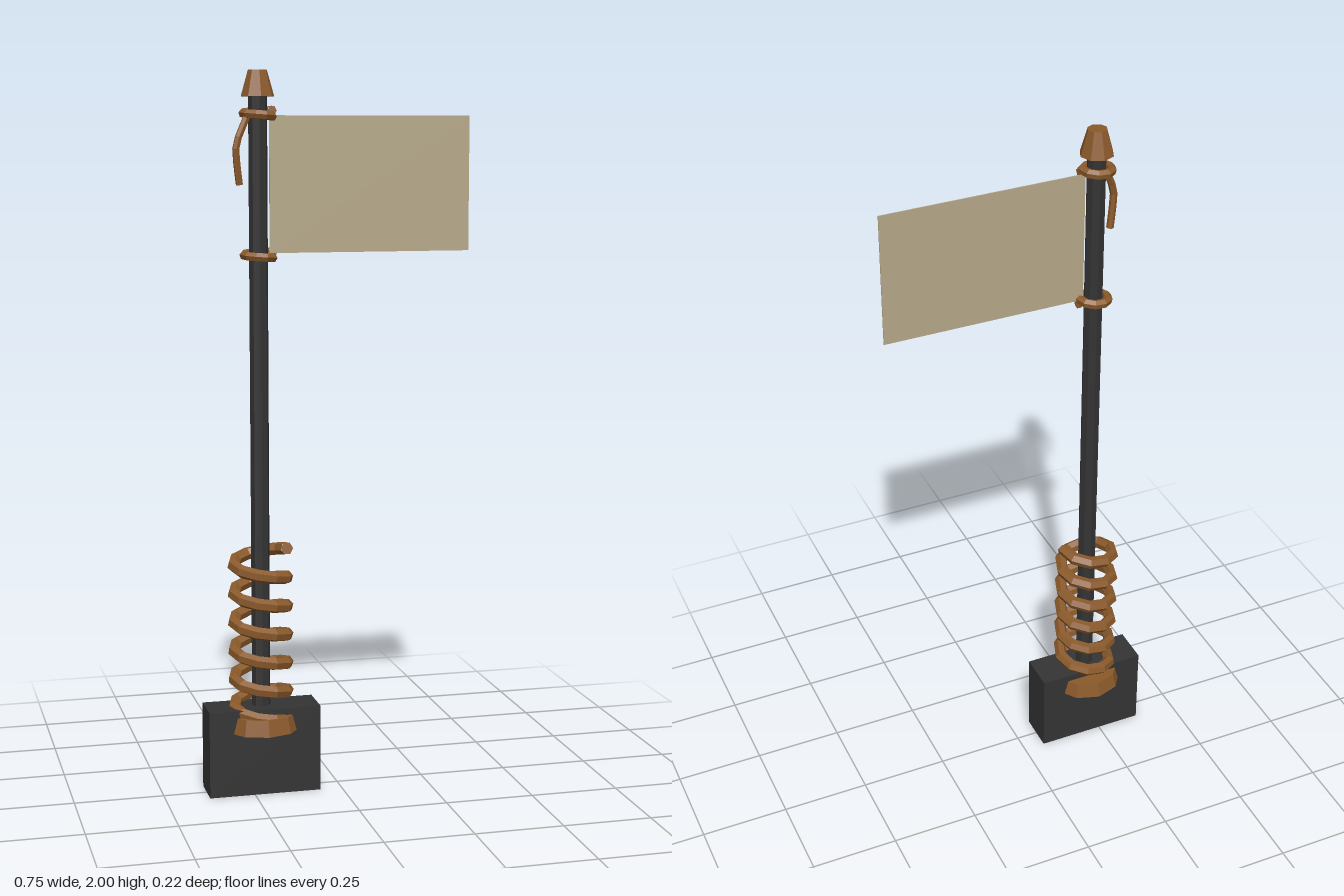
import * as THREE from 'three';

const flat = (name, color, side = THREE.FrontSide) => {
  const m = new THREE.MeshStandardMaterial({ color, side, flatShading: true });
  m.name = name;
  return m;
};

const POLE_X = -0.22;

export function createModel() {
  const group = new THREE.Group();
  const dark = flat('darkMetal', 0x343434);
  const rope = flat('brownRope', 0x8b5a2b);
  const cloth = flat('tanCloth', 0xb5a889);

  const add = (name, geometry, material, x, y, z = 0, parent = group) => {
    const mesh = new THREE.Mesh(geometry, material);
    mesh.name = name;
    mesh.position.set(x, y, z);
    parent.add(mesh);
    return mesh;
  };

  // Rope piece along a curve, closed at both ends
  const addRope = (name, curve, segments, radius, y) => {
    const part = new THREE.Group();
    part.name = name;
    part.position.set(POLE_X, y, 0);
    group.add(part);
    add(name + 'Body', new THREE.TubeGeometry(curve, segments, radius, 6), rope, 0, 0, 0, part);
    for (const t of [0, 1]) {
      const p = curve.getPointAt(t);
      const dir = curve.getTangentAt(t).multiplyScalar(t ? 1 : -1);
      const cap = add(name + 'End', new THREE.CircleGeometry(radius, 6), rope, p.x, p.y, p.z, part);
      cap.lookAt(p.clone().add(dir).add(part.position));
    }
  };

  // Rising helix around the pole, starting at +x
  class Helix extends THREE.Curve {
    constructor(radius, turns, height) {
      super();
      Object.assign(this, { radius, turns, height });
    }
    getPoint(t, target = new THREE.Vector3()) {
      const a = t * this.turns * Math.PI * 2;
      return target.set(Math.cos(a) * this.radius, t * this.height, Math.sin(a) * this.radius);
    }
  }

  // Base block, pole and collar
  add('base', new THREE.BoxGeometry(0.316, 0.245, 0.11), dark, POLE_X, 0.1225);
  add('pole', new THREE.CylinderGeometry(0.026, 0.026, 1.75, 8), dark, POLE_X, 1.07);
  add('collar', new THREE.CylinderGeometry(0.1, 0.11, 0.045, 10), rope, POLE_X, 0.2025);

  // Pole cap
  add('cap', new THREE.CylinderGeometry(0.026, 0.046, 0.07, 8), rope, POLE_X, 1.965);

  // Coiled rope and the two lashings
  addRope('coil', new Helix(0.076, 6, 0.488), 60, 0.018, 0.2);
  for (const y of [1.877, 1.497]) addRope('lashing', new Helix(0.04, 1, 0.016), 10, 0.013, y);

  // Loose rope end hanging from the upper lashing
  const tail = new THREE.CatmullRomCurve3([
    new THREE.Vector3(-0.032, 1.88, 0.018),
    new THREE.Vector3(-0.065, 1.8, 0.028),
    new THREE.Vector3(-0.064, 1.76, 0.027),
    new THREE.Vector3(-0.056, 1.695, 0.024),
  ]);
  addRope('ropeTail', tail, 6, 0.01, 0);

  // Flag
  add('flag', new THREE.BoxGeometry(0.566, 0.37, 0.003), cloth, 0.094, 1.695);

  return group;
}
